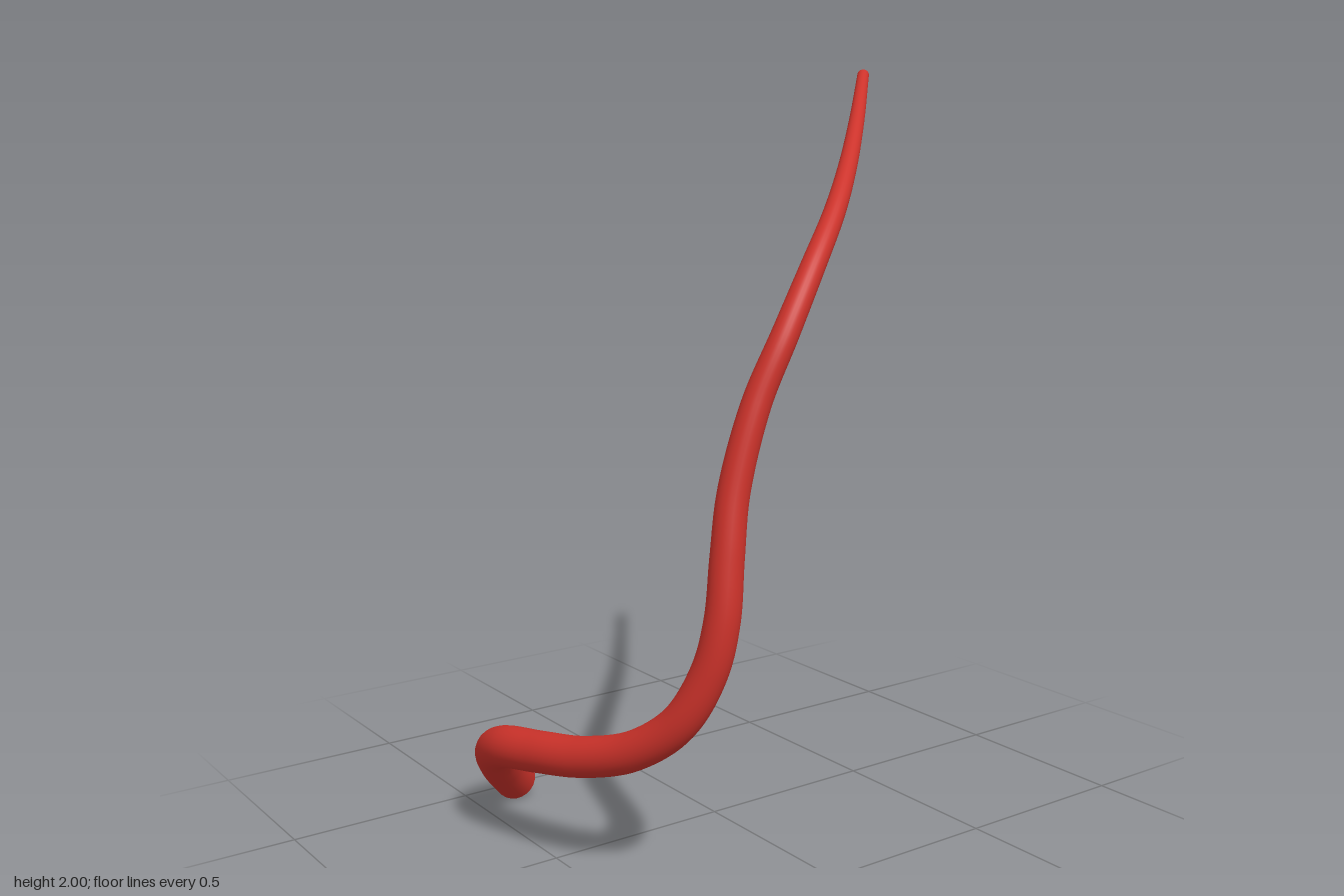
import * as THREE from 'three';

const BASE_RADIUS = 0.058;
const TIP_RADIUS = 0.016;
const SEGMENTS = 160;
const SIDES = 24;

// Centre line from the thick base to the thin tip
const PATH = [
  [-0.38, 0.05, -0.43], [-0.46, 0.135, -0.355], [-0.521, 0.215, -0.27],
  [-0.541, 0.26, -0.175], [-0.517, 0.282, -0.04], [-0.475, 0.305, 0.105],
  [-0.42, 0.355, 0.25], [-0.362, 0.445, 0.357], [-0.315, 0.575, 0.413],
  [-0.29, 0.7, 0.43], [-0.268, 0.85, 0.42], [-0.238, 1.0, 0.405],
  [-0.172, 1.2, 0.403], [-0.09, 1.36, 0.407], [0.02, 1.508, 0.37],
  [0.148, 1.63, 0.295], [0.276, 1.737, 0.193], [0.42, 1.855, 0.06],
  [0.585, 1.988, -0.105],
].map((p) => new THREE.Vector3(...p));

// Open tube whose rings shrink along its length, a little faster near the tip
function taperedTube(curve) {
  const geometry = new THREE.TubeGeometry(curve, SEGMENTS, 1, SIDES, false);
  const position = geometry.attributes.position;
  const normal = geometry.attributes.normal;
  const centre = new THREE.Vector3();
  const out = new THREE.Vector3();
  for (let i = 0; i <= SEGMENTS; i++) {
    const t = i / SEGMENTS;
    curve.getPointAt(t, centre);
    const radius = THREE.MathUtils.lerp(BASE_RADIUS, TIP_RADIUS, t ** 1.25);
    for (let j = 0; j <= SIDES; j++) {
      const k = i * (SIDES + 1) + j;
      out.fromBufferAttribute(normal, k).multiplyScalar(radius).add(centre);
      position.setXYZ(k, out.x, out.y, out.z);
    }
  }
  return geometry;
}

export function createModel() {
  const group = new THREE.Group();
  group.name = 'tentacle';

  const red = new THREE.MeshStandardMaterial({ color: 0xcc322a, side: THREE.DoubleSide });
  red.name = 'red';

  const curve = new THREE.CatmullRomCurve3(PATH, false, 'centripetal');
  const strand = new THREE.Mesh(taperedTube(curve), red);
  strand.name = 'taperedStrand';
  group.add(strand);
  return group;
}
